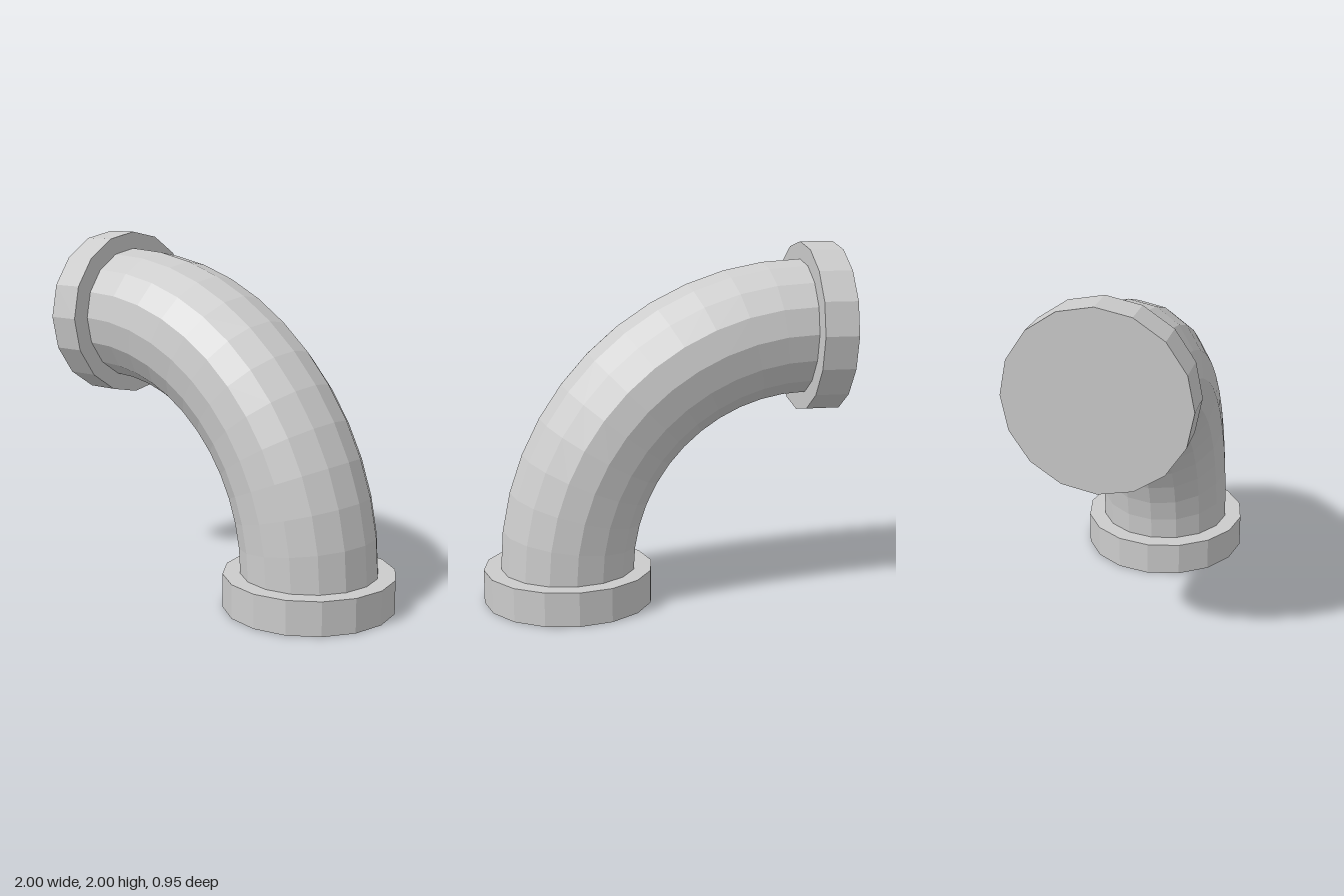
import * as THREE from 'three';

const SIDES = 16;
const BEND_RADIUS = 1.33;
const PIPE_RADIUS = 0.38;
const FLANGE_RADIUS = 0.477;
const FLANGE_DEPTH = 0.19;

export function createModel() {
  const model = new THREE.Group();
  model.name = 'pipeElbow';
  const material = new THREE.MeshStandardMaterial({ color: 0xcccccc, flatShading: true });

  // centre of the quarter-circle bend
  const cx = -1 + FLANGE_DEPTH;
  const cy = FLANGE_DEPTH;

  // curved pipe, a quarter torus in twelve segments
  const pipe = new THREE.Mesh(
    new THREE.TorusGeometry(BEND_RADIUS, PIPE_RADIUS, SIDES, 12, Math.PI / 2),
    material
  );
  pipe.name = 'bentPipe';
  pipe.position.set(cx, cy, 0);
  model.add(pipe);

  // closed collar at each end of the pipe
  function addFlange(name, x, y, tilt) {
    const flange = new THREE.Mesh(
      new THREE.CylinderGeometry(FLANGE_RADIUS, FLANGE_RADIUS, FLANGE_DEPTH, SIDES),
      material
    );
    flange.name = name;
    flange.position.set(x, y, 0);
    flange.rotation.z = tilt;
    model.add(flange);
  }
  addFlange('bottomFlange', cx + BEND_RADIUS, FLANGE_DEPTH / 2, 0);
  addFlange('sideFlange', -1 + FLANGE_DEPTH / 2, cy + BEND_RADIUS, Math.PI / 2);

  return model;
}
